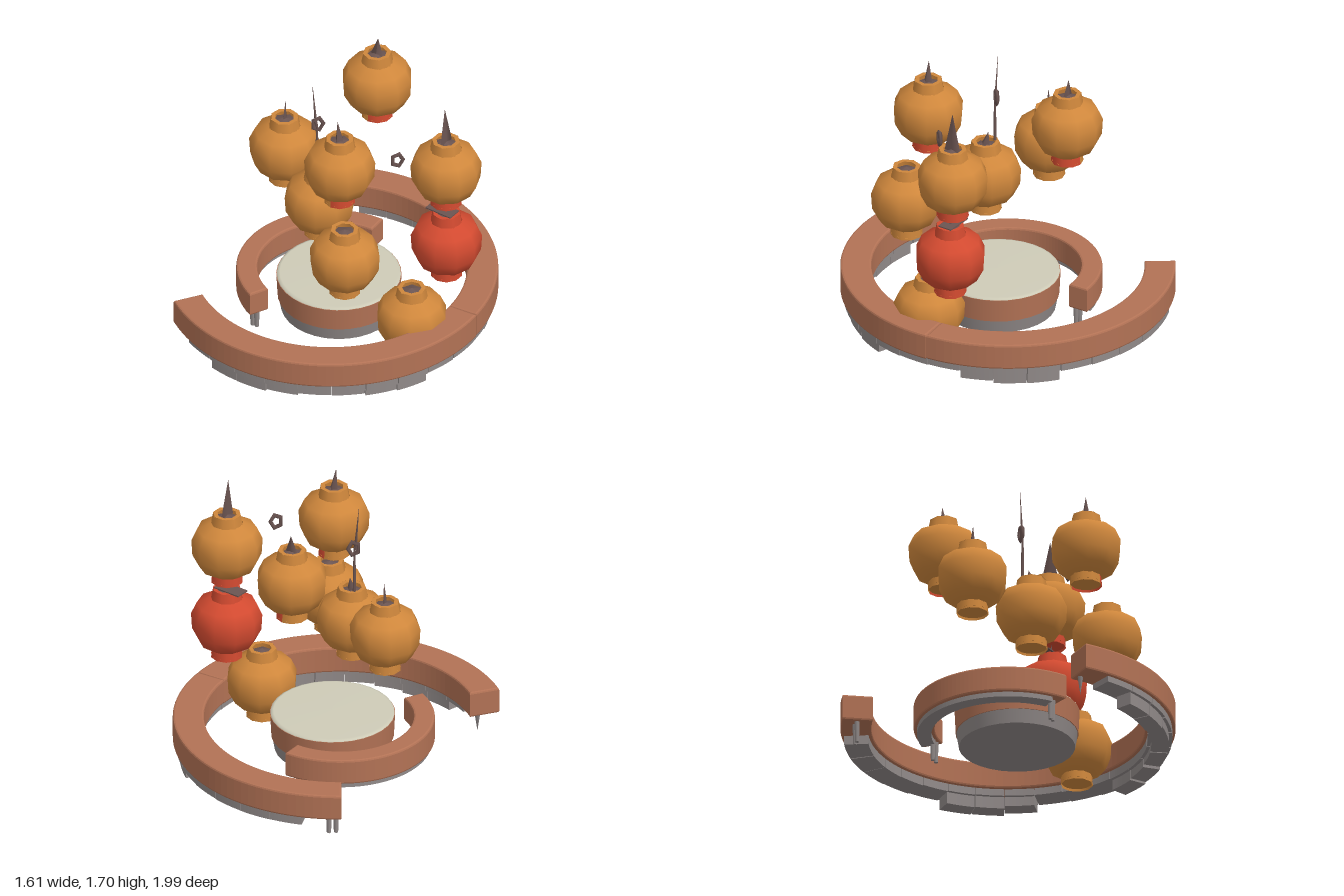
import * as THREE from 'three';

const mat = (name, color, side = THREE.FrontSide) => {
  const m = new THREE.MeshStandardMaterial({ color, side });
  m.name = name;
  return m;
};
const DEG = Math.PI / 180;

export function createModel() {
  const wood = mat('wood', 0xb27255);
  const grey = mat('grey', 0x918a89);
  const cream = mat('cream', 0xcecbb7);
  const orange = mat('orange', 0xcf873c, THREE.DoubleSide);
  const red = mat('red', 0xd24a30, THREE.DoubleSide);
  const dark = mat('darkBrown', 0x6b5552, THREE.DoubleSide);

  const model = new THREE.Group();
  model.name = 'lanternSeating';

  const add = (parent, name, geo, material, x = 0, y = 0, z = 0) => {
    const m = new THREE.Mesh(geo, material);
    m.name = name;
    m.position.set(x, y, z);
    parent.add(m);
    return m;
  };

  // Curved block between two radii and two angles (measured from +x towards +z)
  const arcBlock = (name, r0, r1, a0, a1, bottom, top, material, bevel) => {
    const s = new THREE.Shape();
    const b = bevel / r1;
    s.absarc(0, 0, r1 - bevel, a0 * DEG + b, a1 * DEG - b, false);
    s.absarc(0, 0, r0 + bevel, a1 * DEG - b, a0 * DEG + b, true);
    const geo = new THREE.ExtrudeGeometry(s, {
      depth: top - bottom - 2 * bevel, curveSegments: Math.max(4, Math.round((a1 - a0) / 6)),
      bevelEnabled: bevel > 0, bevelThickness: bevel, bevelSize: bevel, bevelSegments: 2,
    });
    geo.rotateX(Math.PI / 2);
    return add(model, name, geo, material, -0.2, top - bevel, 0);
  };

  // Benches: two outer halves meeting at the side, one inner arc
  arcBlock('outerBenchBack', 0.81, 0.995, -128, -6.2, 0.13, 0.292, wood, 0.012);
  arcBlock('outerBenchFront', 0.81, 0.995, -6, 123.5, 0.125, 0.292, wood, 0.012);
  arcBlock('innerBench', 0.435, 0.56, 113, 268, 0.13, 0.29, wood, 0.012);
  arcBlock('innerBenchBase', 0.455, 0.54, 122, 260, 0.1, 0.135, grey, 0);

  // Stone skirt in slabs, with deeper footing in places
  for (let a = -114; a < 114; a += 12) {
    arcBlock('skirtSlab', 0.83, 0.975, a, a + 11.7, 0.08 + 0.008 * Math.sin(a), 0.135, grey, 0);
    if ((a > 15 && a < 95) || (a > -60 && a < -22))
      arcBlock('skirtFooting', 0.85, 0.955, a, a + 11.7, 0.025 + 0.015 * Math.sin(a * 2), 0.09, grey, 0);
  }

  // Thin legs under the bench ends
  const legs = [[-0.73, -0.73], [-0.7, -0.76], [-0.46, 0.43], [-0.43, 0.43], [-0.29, -0.46], [-0.25, -0.46]];
  for (const [x, z] of legs)
    add(model, 'leg', new THREE.CylinderGeometry(0.018, 0.013, 0.14, 6), grey, x, 0.07, z);
  add(model, 'pointedLeg', new THREE.ConeGeometry(0.02, 0.13, 5).rotateX(Math.PI), grey, -0.655, 0.075, 0.74);

  // Round table
  const table = new THREE.Group();
  table.name = 'table';
  table.position.set(-0.125, 0, 0.02);
  model.add(table);
  add(table, 'tableBase', new THREE.CylinderGeometry(0.36, 0.345, 0.085, 32), grey, 0, 0.0875, 0);
  add(table, 'tableRim', new THREE.CylinderGeometry(0.372, 0.365, 0.145, 32), wood, 0, 0.2025, 0);
  const topProfile = [[0.37, 0.27], [0.367, 0.282], [0.35, 0.288], [0, 0.29]].map((p) => new THREE.Vector2(...p));
  add(table, 'tableTop', new THREE.LatheGeometry(topProfile, 32), cream);

  // Lantern: faceted round body, flared collars, dark crown; origin at its top
  const bodyProfile = [[0.092, -0.4], [0.165, -0.355], [0.206, -0.275], [0.212, -0.175], [0.178, -0.1], [0.095, -0.06]]
    .map((p) => new THREE.Vector2(...p));
  const body = new THREE.LatheGeometry(bodyProfile, 10);
  const lantern = (name, x, top, z, turn, shell = orange, lower = [shell, shell]) => {
    const g = new THREE.Group();
    g.name = name;
    g.position.set(x, top, z);
    model.add(g);
    add(g, 'lanternBody', body, shell).rotation.y = turn;
    add(g, 'upperCollar', new THREE.CylinderGeometry(0.084, 0.098, 0.072, 8, 1, true), shell, 0, -0.036, 0).rotation.y = turn;
    add(g, 'collarLip', new THREE.RingGeometry(0.058, 0.085, 8).rotateX(-Math.PI / 2), shell, 0, -0.001, 0).rotation.y = turn;
    add(g, 'crown', new THREE.ConeGeometry(0.075, 0.03, 6), dark, 0, -0.018, 0).rotation.y = turn;
    // Lower collar in two halves, +x half first
    lower.forEach((m, i) =>
      add(g, 'lowerCollar', new THREE.CylinderGeometry(0.092, 0.096, 0.065, 5, 1, true, i * Math.PI, Math.PI), m, 0, -0.422, 0));
    add(g, 'lowerCap', new THREE.CircleGeometry(0.094, 10).rotateX(Math.PI / 2), lower[1], 0, -0.44, 0);
    return g;
  };

  // Flat blade-like spike leaning to a tip
  const spike = (parent, w, d, h, leanX, leanZ, x = 0, y = -0.02, z = 0) => {
    const geo = new THREE.ConeGeometry(1, h, 4).scale(w, 1, d).translate(0, h / 2, 0);
    const p = geo.attributes.position;
    for (let i = 0; i < p.count; i++) {
      const t = p.getY(i) / h;
      p.setX(i, p.getX(i) + t * leanX);
      p.setZ(i, p.getZ(i) + t * leanZ);
    }
    geo.computeVertexNormals();
    return add(parent, 'spike', geo, dark, x, y, z);
  };
  const knot = (x, y, z) => {
    const k = add(model, 'knot', new THREE.TorusGeometry(0.034, 0.013, 4, 5), dark, x, y, z);
    k.scale.y = 1.3;
    k.rotation.y = 0.8;
  };

  const left = lantern('lanternSide', -0.565, 1.205, -0.04, 0.2);
  spike(left, 0.012, 0.02, 0.145, 0.008, 0);

  const mid = lantern('lanternMiddle', -0.175, 1.09, 0.145, 0.5);
  spike(mid, 0.035, 0.03, 0.09, 0, -0.02);
  add(mid, 'hookRod', new THREE.CylinderGeometry(0.006, 0.011, 0.3, 5), dark, -0.045, 0.15, -0.035);
  spike(mid, 0.012, 0.008, 0.31, -0.03, 0, -0.05, 0.28, -0.035);
  knot(-0.222, 1.385, 0.1);

  lantern('lanternFront', 0.22, 1.005, 0.44, 0.1);

  const redOne = lantern('redLantern', 0.56, 0.945, -0.12, 0.3, red);
  add(redOne, 'hookBar', new THREE.BoxGeometry(0.18, 0.008, 0.09), dark, -0.03, 0.002, 0);
  spike(redOne, 0.012, 0.012, 0.1, -0.01, 0);

  const right = lantern('lanternUpperSide', 0.55, 1.46, -0.13, 0.4, orange, [red, red]);
  spike(right, 0.006, 0.058, 0.25, -0.005, 0.005);

  const back = lantern('lanternBack', -0.18, 1.605, -0.445, 0, orange, [red, orange]);
  spike(back, 0.045, 0.014, 0.115, 0.0, -0.01);

  const high = lantern('lanternHigh', 0.12, 1.58, 0.352, 0.25, orange, [red, orange]);
  spike(high, 0.028, 0.03, 0.14, -0.012, 0.005);

  lantern('lanternLow', 0.465, 0.475, 0.1, 0.6);
  knot(0.36, 1.37, 0.1);

  return model;
}
